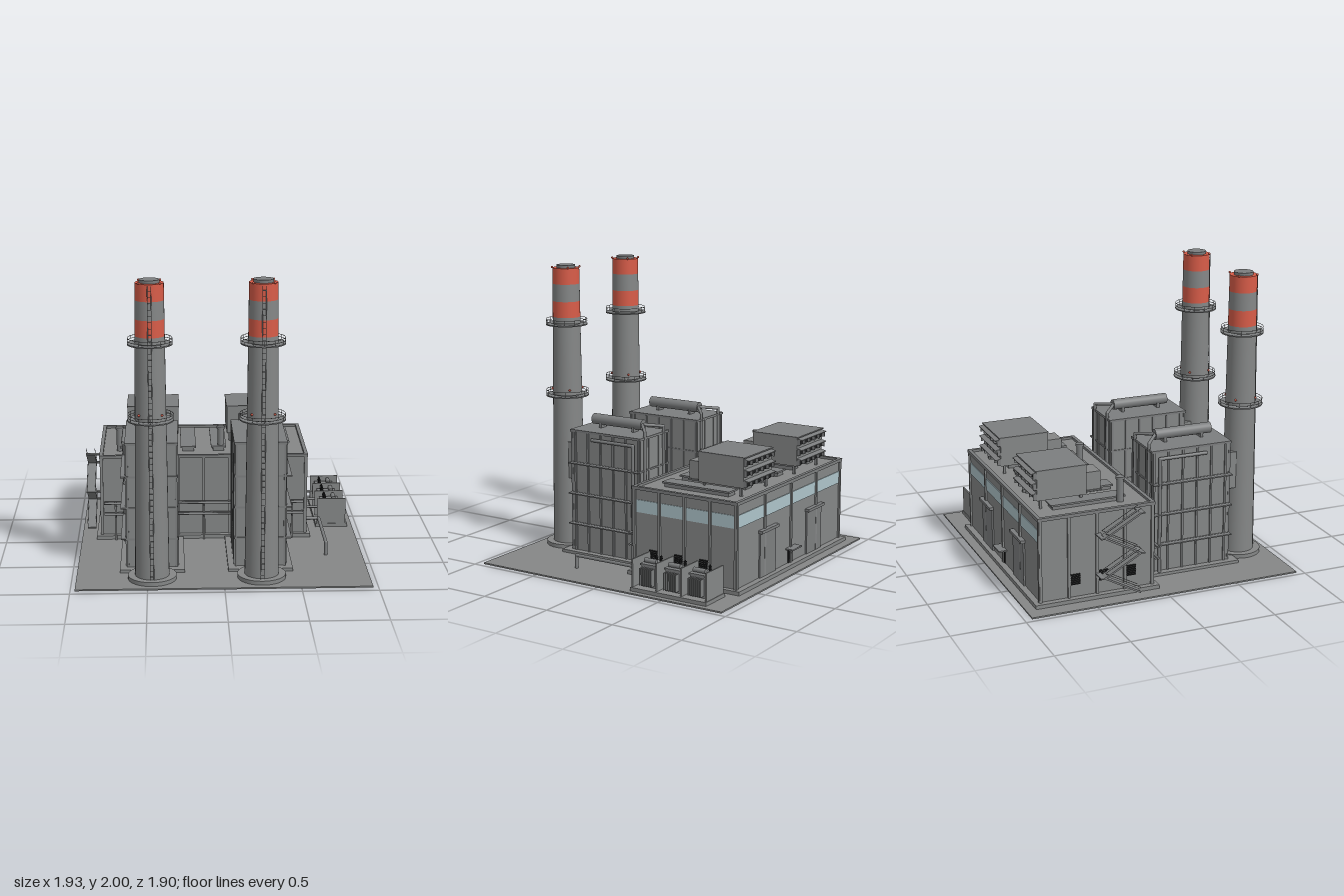
import * as THREE from 'three';

const mat = (name, color, side = THREE.FrontSide) => {
  const m = new THREE.MeshStandardMaterial({ color, side });
  m.name = name;
  return m;
};

export function createModel() {
  const model = new THREE.Group();
  model.name = 'powerStation';
  const grey = mat('concreteGrey', 0x858787);
  const steel = mat('steelGrey', 0x7c7e7f);
  const dark = mat('blackMetal', 0x1d1e1f);
  const red = mat('warningRed', 0xd85c48);
  const glass = mat('paleGlass', 0xaec4ca);

  const add = (parent, name, geo, m, x = 0, y = 0, z = 0) => {
    const mesh = new THREE.Mesh(geo, m);
    mesh.name = name;
    mesh.position.set(x, y, z);
    parent.add(mesh);
    return mesh;
  };
  // Box given by its min and max corners
  const box = (p, name, m, x0, x1, y0, y1, z0, z1) =>
    add(p, name, new THREE.BoxGeometry(x1 - x0, y1 - y0, z1 - z0), m, (x0 + x1) / 2, (y0 + y1) / 2, (z0 + z1) / 2);
  const cyl = (p, name, m, rTop, rBot, y0, y1, x = 0, z = 0, n = 32) =>
    add(p, name, new THREE.CylinderGeometry(rTop, rBot, y1 - y0, n), m, x, (y0 + y1) / 2, z);
  // Pipe through points with sharp bends
  const pipe = (p, name, m, r, pts) => {
    const path = new THREE.CurvePath();
    const v = pts.map((a) => new THREE.Vector3(...a));
    for (let i = 1; i < v.length; i++) path.add(new THREE.LineCurve3(v[i - 1], v[i]));
    for (const c of path.curves) {
      const d = c.v2.clone().sub(c.v1);
      const t = add(p, name, new THREE.CylinderGeometry(r, r, d.length(), 12), m);
      t.position.copy(c.v1).addScaledVector(d, 0.5);
      t.quaternion.setFromUnitVectors(new THREE.Vector3(0, 1, 0), d.normalize());
    }
    for (const q of v.slice(1, -1)) add(p, name + 'Elbow', new THREE.SphereGeometry(r, 12, 8), m, q.x, q.y, q.z);
  };
  const group = (name, x = 0, z = 0) => {
    const g = new THREE.Group();
    g.name = name;
    g.position.set(x, 0, z);
    model.add(g);
    return g;
  };

  box(model, 'ground', grey, -0.97, 0.965, 0, 0.01, -0.95, 0.95);

  // Chimneys
  const radius = (y) => 0.113 - 0.0105 * y;
  const chimney = (x) => {
    const g = group('chimney', x, 0.75);
    cyl(g, 'footing', grey, 0.16, 0.16, 0.01, 0.037);
    const cuts = [0.03, 1.64, 1.75, 1.87, 1.98];
    for (let i = 0; i < 4; i++)
      cyl(g, i % 2 ? 'redBand' : 'shaft', i % 2 ? red : grey, radius(cuts[i + 1]), radius(cuts[i]), cuts[i], cuts[i + 1]);
    cyl(g, 'rim', steel, 0.065, 0.065, 1.98, 2.0);
    for (const [y, r] of [[1.088, 0.15], [1.587, 0.145]]) {
      cyl(g, 'platform', steel, r, r, y - 0.004, y + 0.004);
      for (const h of [0.02, 0.038]) {
        const rail = add(g, 'handrail', new THREE.TorusGeometry(r - 0.003, 0.0018, 6, 32), steel, 0, y + h, 0);
        rail.rotation.x = Math.PI / 2;
      }
      for (let i = 0; i < 12; i++) {
        const a = i * Math.PI / 6;
        cyl(g, 'railPost', steel, 0.0015, 0.0015, y, y + 0.038, Math.cos(a) * (r - 0.003), Math.sin(a) * (r - 0.003), 6);
      }
    }
    for (const y of [1.135, 1.985])
      for (let i = 0; i < 4; i++) {
        const a = Math.PI / 4 + i * Math.PI / 2, r = radius(y) + 0.004;
        add(g, 'beacon', new THREE.SphereGeometry(0.008, 10, 8), red, Math.cos(a) * r, y, Math.sin(a) * r);
      }
    // Ladder
    for (const s of [-0.012, 0.012])
      pipe(g, 'ladderRail', steel, 0.002, [[s, 0.03, radius(0) + 0.008], [s, 1.97, radius(1.97) + 0.008]]);
    for (let y = 0.06; y < 1.97; y += 0.04) box(g, 'ladderRung', steel, -0.012, 0.012, y, y + 0.003, radius(y) + 0.006, radius(y) + 0.01);
  };

  // Boiler houses; side is the outer direction for pipes and walkways
  const boiler = (x, side) => {
    const g = group('boilerHouse', x);
    box(g, 'plinth', grey, -0.215, 0.215, 0.01, 0.03, 0, 0.655);
    box(g, 'body', grey, -0.168, 0.168, 0.03, 0.875, 0.026, 0.594);
    box(g, 'roofSlab', steel, -0.176, 0.176, 0.872, 0.888, 0.018, 0.602);
    for (const y of [0.225, 0.44, 0.655]) {
      box(g, 'girth', steel, -0.174, 0.174, y - 0.006, y + 0.006, 0.02, 0.6);
      box(g, 'walkway', steel, side > 0 ? 0.17 : -0.208, side > 0 ? 0.208 : -0.17, y - 0.004, y + 0.004, 0.02, 0.6);
    }
    for (const s of [-1, 1]) {
      for (const z of [0.035, 0.14, 0.245, 0.35, 0.455, 0.56])
        box(g, 'sideRib', steel, s * 0.17 - 0.007, s * 0.17 + 0.007, 0.03, 0.875, z - 0.007, z + 0.007);
      for (const px of [0.06, 0.162])
        for (const z of [0.028, 0.592]) box(g, 'endRib', steel, s * px - 0.007, s * px + 0.007, 0.03, 0.875, z - 0.007, z + 0.007);
      pipe(g, 'steamPipe', steel, 0.011, [[0, 0.945, 0.12], [s * 0.115, 0.925, 0.022], [s * 0.115, 0.02, 0.016]]);
    }
    // Flue to the chimney
    box(g, 'flueDuct', grey, -0.085, 0.085, 0.51, 0.77, 0.59, 0.69);
    // Steam drum on saddles
    const drum = add(g, 'steamDrum', new THREE.CylinderGeometry(0.037, 0.037, 0.41, 24), steel, 0, 0.942, 0.315);
    drum.rotation.x = Math.PI / 2;
    for (const z of [0.18, 0.45]) box(g, 'drumSaddle', steel, -0.03, 0.03, 0.885, 0.925, z - 0.01, z + 0.01);
    pipe(g, 'downPipe', steel, 0.012, [[side * 0.19, 0.835, 0.41], [side * 0.19, 0.835, 0.07], [side * 0.19, 0.01, 0.07]]);
    box(g, 'pipeBracket', steel, Math.min(side * 0.15, side * 0.19), Math.max(side * 0.15, side * 0.19), 0.83, 0.84, 0.395, 0.41);
    // Sloping duct into the hall
    const s = new THREE.Shape([[-0.03, 0.56], [0.06, 0.28], [0.06, 0.2], [-0.03, 0.2]].map((a) => new THREE.Vector2(...a)));
    const duct = add(g, 'linkDuct', new THREE.ExtrudeGeometry(s, { depth: 0.2, bevelEnabled: false }), grey, -0.1, 0, 0);
    duct.rotation.y = Math.PI / 2;
  };
  for (const [x, side] of [[-0.47, -1], [0.25, 1]]) {
    chimney(x);
    boiler(x, side);
  }

  // Turbine hall
  const hall = group('turbineHall');
  box(hall, 'plinth', grey, -0.865, 0.64, 0.01, 0.036, -0.885, -0.02);
  box(hall, 'walls', grey, -0.825, 0.605, 0.03, 0.6, -0.842, -0.058);
  for (const [a, b, c, d] of [[-0.84, 0.62, -0.857, -0.832], [-0.84, 0.62, -0.068, -0.043], [-0.84, -0.815, -0.832, -0.068], [0.595, 0.62, -0.832, -0.068]])
    box(hall, 'parapet', steel, a, b, 0.595, 0.617, c, d);
  for (let i = 0; i <= 8; i++) {
    const x = -0.825 + i * 0.17875;
    box(hall, 'frontPilaster', grey, x - 0.009, x + 0.009, 0.03, 0.6, -0.06, -0.046);
    if (i % 2 === 0) box(hall, 'backPilaster', grey, x - 0.009, x + 0.009, 0.03, 0.6, -0.854, -0.84);
    if (i % 2) box(hall, 'backWindow', glass, x - 0.165, x + 0.165, 0.44, 0.525, -0.847, -0.841);
  }
  for (let i = 0; i <= 4; i++) {
    const z = -0.84 + i * 0.195;
    for (const x of [-0.831, 0.611]) box(hall, 'sidePilaster', grey, x - 0.007, x + 0.007, 0.03, 0.6, z - 0.009, z + 0.009);
    if (i === 4) continue;
    box(hall, 'sideWindow', glass, 0.604, 0.61, 0.44, 0.525, z + 0.014, z + 0.181);
    if (i) for (const x of [-0.828, 0.608])
      for (let k = 0; k < 6; k++)
        box(hall, 'louvreSlat', dark, x - 0.005, x + 0.005, 0.122 + k * 0.013, 0.13 + k * 0.013, z + 0.012, z + 0.078);
  }
  // Back doors
  for (const x of [-0.435, 0.21]) {
    box(hall, 'shutterDoor', steel, x - 0.105, x + 0.105, 0.036, 0.34, -0.853, -0.84);
    box(hall, 'shutterHood', steel, x - 0.115, x + 0.115, 0.34, 0.36, -0.873, -0.84);
  }
  box(hall, 'entranceDoor', dark, -0.14, -0.08, 0.036, 0.13, -0.847, -0.841);
  box(hall, 'entranceCanopy', steel, -0.175, -0.045, 0.136, 0.146, -0.9, -0.84);

  // Roof equipment
  for (let i = 0; i < 6; i++) {
    const x = -0.645 + i * 0.2146;
    box(hall, 'ventBase', steel, x - 0.04, x + 0.04, 0.6, 0.625, -0.7, -0.205);
    box(hall, 'ridgeVent', steel, x - 0.054, x + 0.054, 0.625, 0.637, -0.712, -0.195);
  }
  for (const x of [-0.7, 0.015]) {
    cyl(hall, 'roofStack', steel, 0.023, 0.023, 0.6, 0.765, x, -0.235, 20);
    cyl(hall, 'roofStackCap', steel, 0.029, 0.029, 0.755, 0.772, x, -0.235, 20);
  }
  for (const x of [-0.465, 0.25]) {
    const g = group('airCooler', x);
    box(g, 'housing', grey, -0.183, 0.183, 0.66, 0.862, -0.79, -0.447);
    box(g, 'housingRoof', steel, -0.187, 0.187, 0.858, 0.866, -0.8, -0.443);
    for (const px of [-0.16, 0.16]) for (const z of [-0.76, -0.48]) box(g, 'leg', steel, px - 0.008, px + 0.008, 0.6, 0.66, z - 0.008, z + 0.008);
    for (const y of [0.69, 0.76, 0.83]) {
      const hood = box(g, 'intakeHood', steel, -0.178, 0.178, y + 0.015, y + 0.021, -0.827, -0.785);
      hood.rotation.x = -0.2;
      for (let i = 0; i < 5; i++) {
        const px = -0.142 + i * 0.071;
        box(g, 'intake', dark, px - 0.028, px + 0.028, y - 0.024, y + 0.012, -0.796, -0.788);
      }
      for (let i = 0; i < 6; i++) {
        const px = -0.1775 + i * 0.071;
        box(g, 'intakeFin', steel, px - 0.003, px + 0.003, y - 0.024, y + 0.018, -0.815, -0.788);
      }
    }
    box(g, 'duct', grey, -0.07, 0.07, 0.635, 0.765, -0.45, -0.305);
    box(g, 'ductCollar', steel, -0.08, 0.08, 0.632, 0.642, -0.45, -0.3);
  }

  // Pipe rack in front of the hall
  const rack = group('pipeRack');
  for (const y of [0.2, 0.28])
    for (const z of [-0.025, -0.002]) pipe(rack, 'rackPipe', steel, 0.008, [[-0.81, y, z], [0.59, y, z]]);
  for (const x of [-0.73, -0.11, 0.51]) {
    box(rack, 'rackPost', steel, x - 0.007, x + 0.007, 0.01, 0.285, -0.02, -0.008);
    for (const y of [0.187, 0.267]) box(rack, 'rackArm', steel, x - 0.006, x + 0.006, y - 0.005, y + 0.005, -0.04, 0.012);
  }

  // Side stair, four zigzag flights
  const stair = group('outsideStair', -0.907, -0.31);
  for (let i = 0; i < 4; i++) {
    const dir = i % 2 ? 1 : -1, y0 = 0.04 + i * 0.138;
    const flight = add(stair, 'stairFlight', new THREE.BoxGeometry(0.062, 0.012, 0.285), steel, 0, y0 + 0.069, 0);
    flight.rotation.x = -dir * Math.atan2(0.138, 0.25);
    box(stair, 'landing', steel, -0.032, 0.075, y0 + 0.133, y0 + 0.141, dir * 0.135 - 0.018, dir * 0.135 + 0.018);
    for (const px of [-0.03, 0.03])
      pipe(stair, 'stairRail', steel, 0.002, [[px, y0 + 0.035, -dir * 0.125], [px, y0 + 0.173, dir * 0.125]]);
  }

  // Transformer yard
  const yard = group('transformerYard');
  box(yard, 'pad', grey, 0.7, 0.928, 0.01, 0.035, -0.815, -0.24);
  for (const z of [-0.805, -0.618, -0.432, -0.247]) box(yard, 'fireWall', grey, 0.71, 0.915, 0.03, 0.222, z - 0.005, z + 0.005);
  for (const z of [-0.712, -0.525, -0.34]) {
    box(yard, 'transformerTank', steel, 0.745, 0.865, 0.035, 0.18, z - 0.055, z + 0.055);
    box(yard, 'transformerLid', steel, 0.738, 0.872, 0.178, 0.188, z - 0.062, z + 0.062);
    for (let i = 0; i < 7; i++) {
      const fz = z - 0.045 + i * 0.015;
      box(yard, 'radiatorFin', steel, 0.865, 0.905, 0.05, 0.165, fz - 0.003, fz + 0.003);
    }
    for (const dz of [-0.035, 0, 0.035]) {
      cyl(yard, 'bushing', dark, 0.005, 0.007, 0.188, 0.23, 0.77, z + dz, 10);
      for (const y of [0.198, 0.209, 0.22]) cyl(yard, 'bushingDisc', dark, 0.011, 0.011, y - 0.002, y + 0.002, 0.77, z + dz, 12);
    }
    const tank = add(yard, 'oilConservator', new THREE.CylinderGeometry(0.016, 0.016, 0.09, 16), steel, 0.835, 0.205, z);
    tank.rotation.x = Math.PI / 2;
    pipe(yard, 'busDuct', steel, 0.009, [[0.6, 0.13, z], [0.75, 0.13, z]]);
  }
  pipe(model, 'coolingPipe', steel, 0.012, [[0.6, 0.1, -0.17], [0.715, 0.1, -0.17], [0.715, 0.1, 0.345], [0.715, 0.01, 0.345]]);

  return model;
}
